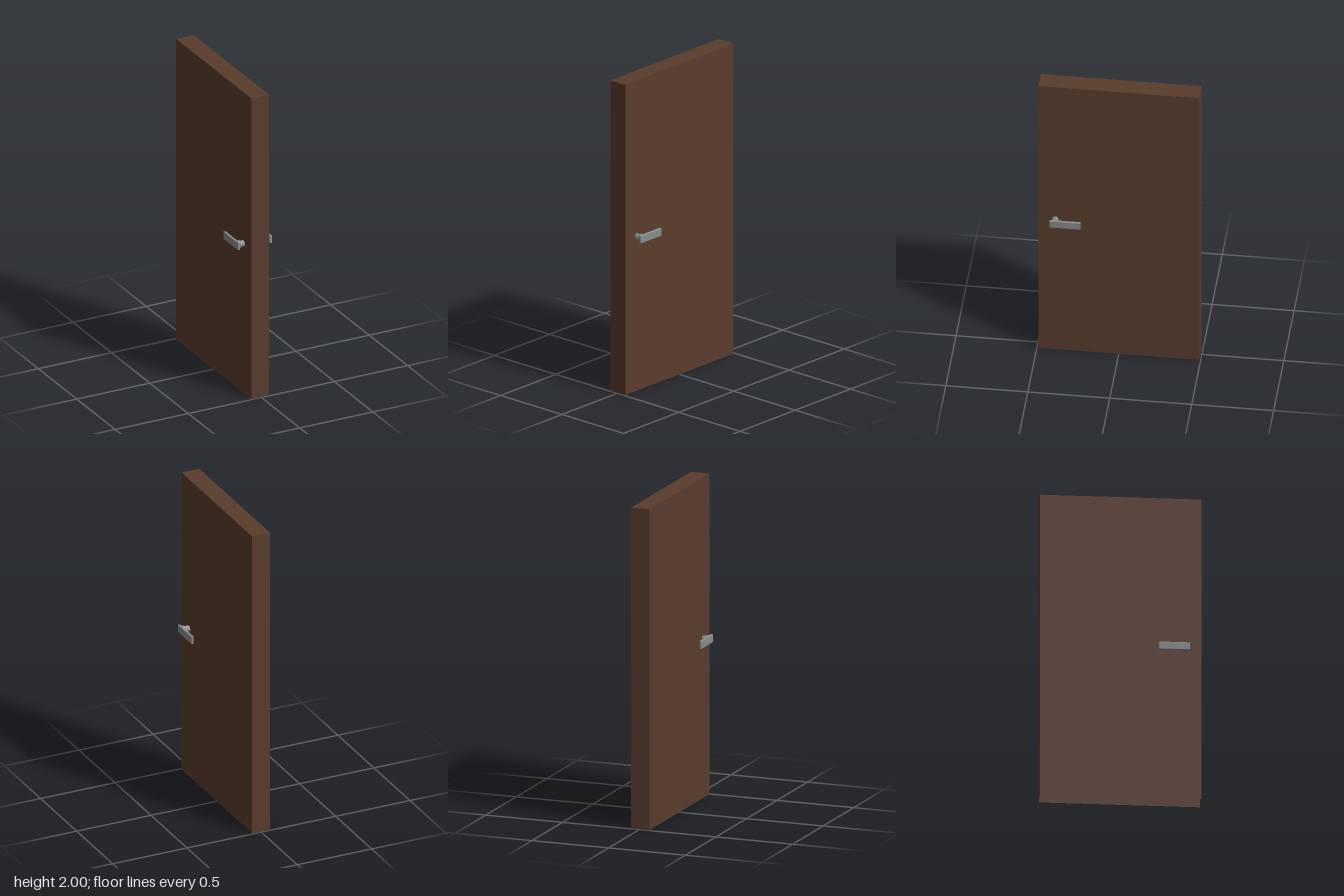
import * as THREE from 'three';
import { RoundedBoxGeometry } from 'three/addons/geometries/RoundedBoxGeometry.js';

const wood = new THREE.MeshStandardMaterial({ color: 0x5a3c2d, side: THREE.DoubleSide });
wood.name = 'dark brown wood';
const metal = new THREE.MeshStandardMaterial({ color: 0x8a8c8d, flatShading: true });
metal.name = 'grey metal';

const HANDLE_Y = 0.995;
const SPINDLE_Z = 0.387;

// Hollow door leaf, open underneath
function doorLeaf() {
  const geometry = new THREE.BoxGeometry(0.12, 2, 0.98);
  const index = Array.from(geometry.index.array);
  index.splice(18, 6); // drop the bottom face
  geometry.setIndex(index);
  geometry.clearGroups();
  const leaf = new THREE.Mesh(geometry, wood);
  leaf.name = 'doorLeaf';
  leaf.position.set(-0.003, 1, 0);
  return leaf;
}

// Low-poly round section lying along x, from x0 to x1
function barrel(name, radius, x0, x1) {
  const geometry = new THREE.CylinderGeometry(radius, radius, Math.abs(x1 - x0), 10);
  geometry.rotateZ(Math.PI / 2);
  const mesh = new THREE.Mesh(geometry, metal);
  mesh.name = name;
  mesh.position.set((x0 + x1) / 2, HANDLE_Y, SPINDLE_Z);
  return mesh;
}

// Spindle, collar and flat lever on one side of the door
function handle(name, side, doorFace) {
  const group = new THREE.Group();
  group.name = name;
  const lever = new THREE.Mesh(new RoundedBoxGeometry(0.016, 0.05, 0.19, 1, 0.003), metal);
  lever.name = 'lever';
  lever.position.set(side * 0.109, HANDLE_Y, 0.322);
  group.add(
    barrel('spindle', 0.02, doorFace, side * 0.09),
    barrel('collar', 0.025, side * 0.089, side * 0.102),
    lever
  );
  return group;
}

export function createModel() {
  const model = new THREE.Group();
  model.name = 'door';
  model.add(doorLeaf(), handle('leftHandle', 1, 0.055), handle('rightHandle', -1, -0.061));
  return model;
}
